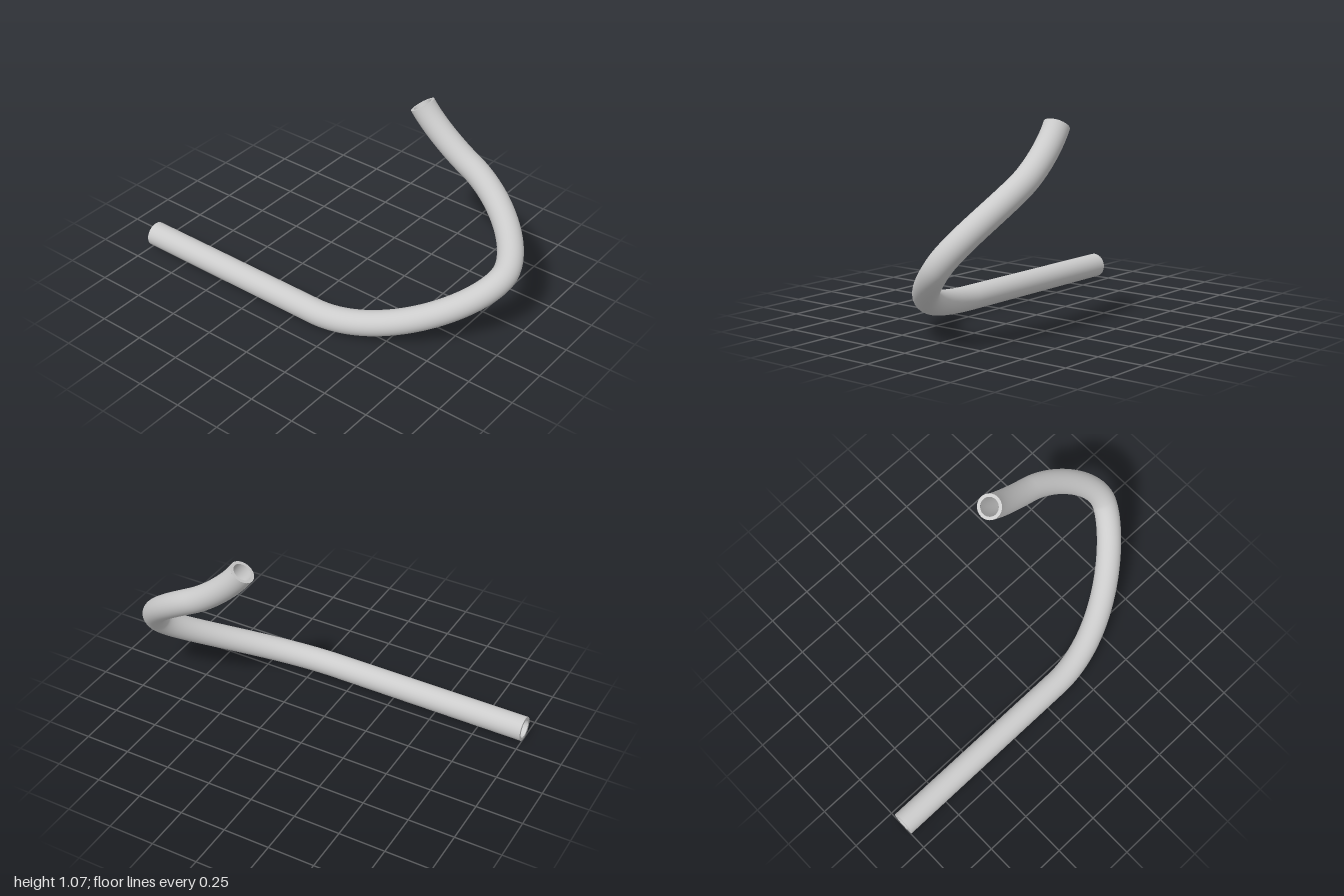
import * as THREE from 'three';

const OUTER = 0.066, INNER = 0.049;
const v = (x, y, z) => new THREE.Vector3(x, y, z);

// Centre line: a straight run, a wide rising bend, then a reversed bend to the tip
function centreLine() {
  const bendStart = v(0.11, 0.066, 0.348);
  const apex = v(0.933, 0.41, -0.15);
  const inflection = v(0.56, 0.775, -0.35);
  const path = new THREE.CurvePath();
  path.add(new THREE.LineCurve3(v(-1, 0.066, 0.348), bendStart));
  path.add(new THREE.CubicBezierCurve3(bendStart, v(0.55, 0.066, 0.348), v(0.933, 0.275, -0.043), apex));
  path.add(new THREE.CubicBezierCurve3(apex, v(0.933, 0.527, -0.243), v(0.736, 0.679, -0.35), inflection));
  path.add(new THREE.CubicBezierCurve3(inflection, v(0.472, 0.823, -0.35), v(0.336, 0.93, -0.342), v(0.27, 1.03, -0.333)));
  return path;
}

export function createModel() {
  const group = new THREE.Group();
  group.name = 'bentPipe';
  const material = new THREE.MeshStandardMaterial({ color: 0xcccccc });
  const boreMaterial = new THREE.MeshStandardMaterial({ color: 0xcccccc, side: THREE.BackSide });
  const path = centreLine();

  const add = (name, geometry, mat) => {
    const mesh = new THREE.Mesh(geometry, mat);
    mesh.name = name;
    group.add(mesh);
    return mesh;
  };

  // Outer wall and hollow bore
  add('outerWall', new THREE.TubeGeometry(path, 160, OUTER, 40, false), material);
  add('bore', new THREE.TubeGeometry(path, 160, INNER, 40, false), boreMaterial);

  // Flat annular rims closing the wall at both open ends
  for (const [name, t, sign] of [['startRim', 0, -1], ['tipRim', 1, 1]]) {
    const rim = add(name, new THREE.RingGeometry(INNER, OUTER, 40), material);
    rim.position.copy(path.getPointAt(t));
    rim.quaternion.setFromUnitVectors(v(0, 0, 1), path.getTangentAt(t).multiplyScalar(sign));
  }
  return group;
}
